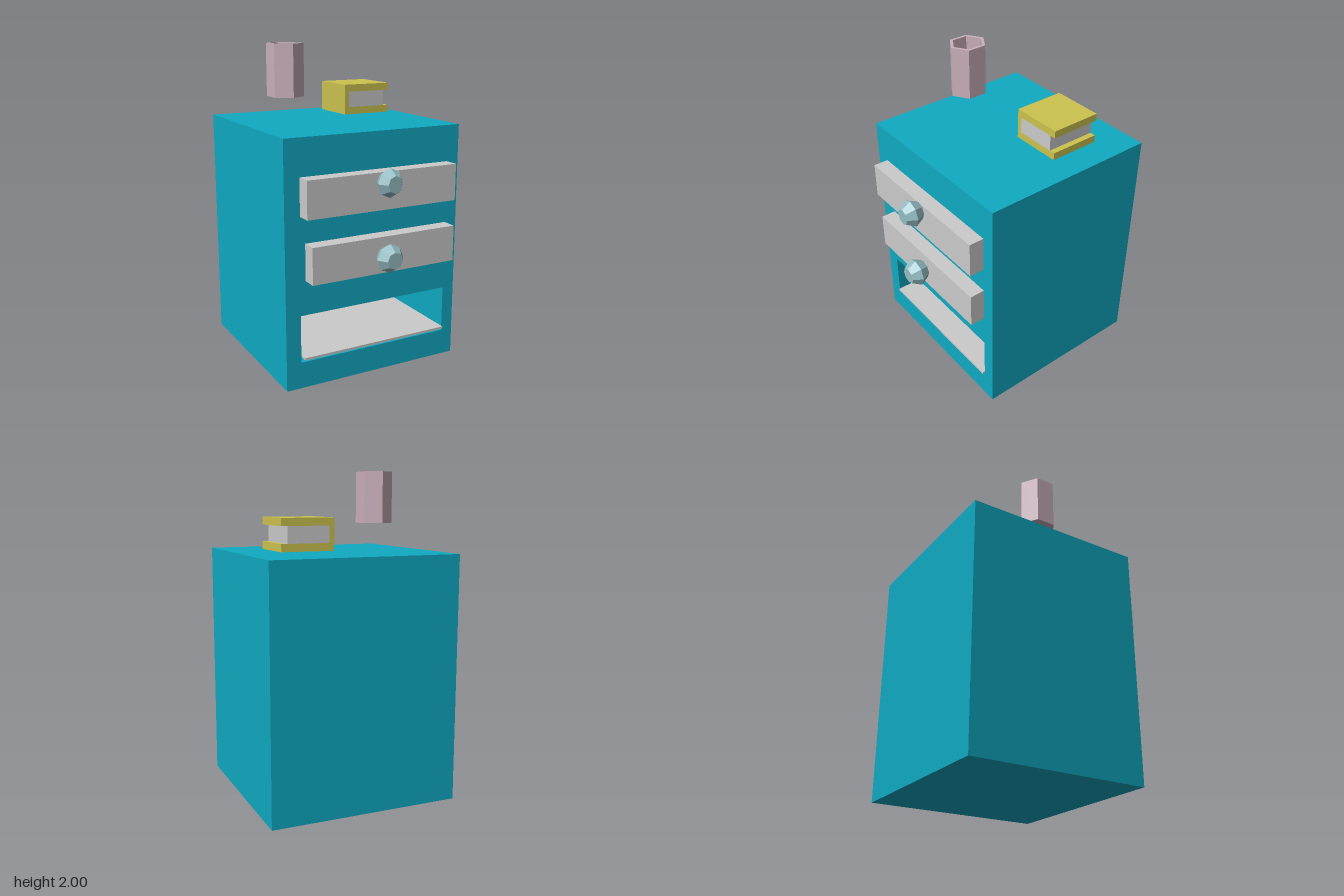
import * as THREE from 'three';

const mat = (color) => new THREE.MeshStandardMaterial({ color, flatShading: true });

export function createModel() {
  const model = new THREE.Group();
  const teal = mat(0x10aac3), grey = mat(0xcccccc), yellow = mat(0xccc34f);
  const pink = mat(0xcab0bd), knobBlue = mat(0x94bdc3);

  const add = (name, geometry, material, parent = model) => {
    const mesh = new THREE.Mesh(geometry, material);
    mesh.name = name;
    parent.add(mesh);
    return mesh;
  };
  // Box given by its extents on each axis
  const box = (name, material, [x0, x1], [y0, y1], [z0, z1], parent) => {
    const g = new THREE.BoxGeometry(x1 - x0, y1 - y0, z1 - z0);
    g.translate((x0 + x1) / 2, (y0 + y1) / 2, (z0 + z1) / 2);
    return add(name, g, material, parent);
  };
  const lathe = (points, sides) =>
    new THREE.LatheGeometry(points.map(([r, y]) => new THREE.Vector2(r, y)), sides);
  const rect = (path, x0, x1, y0, y1) =>
    path.moveTo(x0, y0).lineTo(x1, y0).lineTo(x1, y1).lineTo(x0, y1).closePath();

  // Cabinet body with an open compartment at the bottom
  const front = 0.465, back = -0.675, inner = -0.61;
  const outline = rect(new THREE.Shape(), -0.595, 0.59, 0, 1.512);
  outline.holes.push(rect(new THREE.Path(), -0.5, 0.51, 0.165, 0.46));
  const body = new THREE.ExtrudeGeometry(outline, { depth: front - inner, bevelEnabled: false });
  body.translate(0, 0, inner);
  add('cabinetBody', body, teal);
  box('cabinetBack', teal, [-0.595, 0.59], [0, 1.512], [back, inner]);
  box('compartmentShelf', grey, [-0.48, 0.508], [0.18, 0.195], [inner, 0.48]);

  // Two slightly open drawers with faceted knobs
  const knobProfile = [[0, 0], [0.058, 0], [0.088, 0.058], [0.052, 0.115], [0, 0.115]];
  const drawers = [
    { name: 'upperDrawer', x: [-0.498, 0.508], y: [1.06, 1.287], knob: [0.004, 1.232], squash: 0.93 },
    { name: 'middleDrawer', x: [-0.467, 0.508], y: [0.672, 0.897], knob: [0.012, 0.778], squash: 1 },
  ];
  for (const d of drawers) {
    const drawer = new THREE.Group();
    drawer.name = d.name;
    box('drawerBox', grey, d.x, d.y, [-0.5, 0.56], drawer);
    const knob = add('knob', lathe(knobProfile, 8), knobBlue, drawer);
    knob.rotation.x = Math.PI / 2;
    knob.scale.x = d.squash;
    knob.position.set(d.knob[0], d.knob[1], 0.56);
    model.add(drawer);
  }

  // Book: two covers, spine and page block
  const book = new THREE.Group();
  book.name = 'book';
  const bz = [-0.432, -0.108];
  box('lowerCover', yellow, [0.104, 0.43], [1.534, 1.58], bz, book);
  box('upperCover', yellow, [0.104, 0.43], [1.68, 1.726], bz, book);
  box('spine', yellow, [0.104, 0.134], [1.58, 1.68], bz, book);
  box('pages', grey, [0.134, 0.393], [1.58, 1.68], bz, book);
  model.add(book);

  // Hollow hexagonal cup
  const cup = add('cup', lathe(
    [[0, 0], [0.121, 0], [0.121, 0.32], [0.1, 0.32], [0.1, 0.03], [0, 0.03]], 6), pink);
  cup.scale.x = 0.93;
  cup.position.set(-0.335, 1.68, -0.066);

  return model;
}
